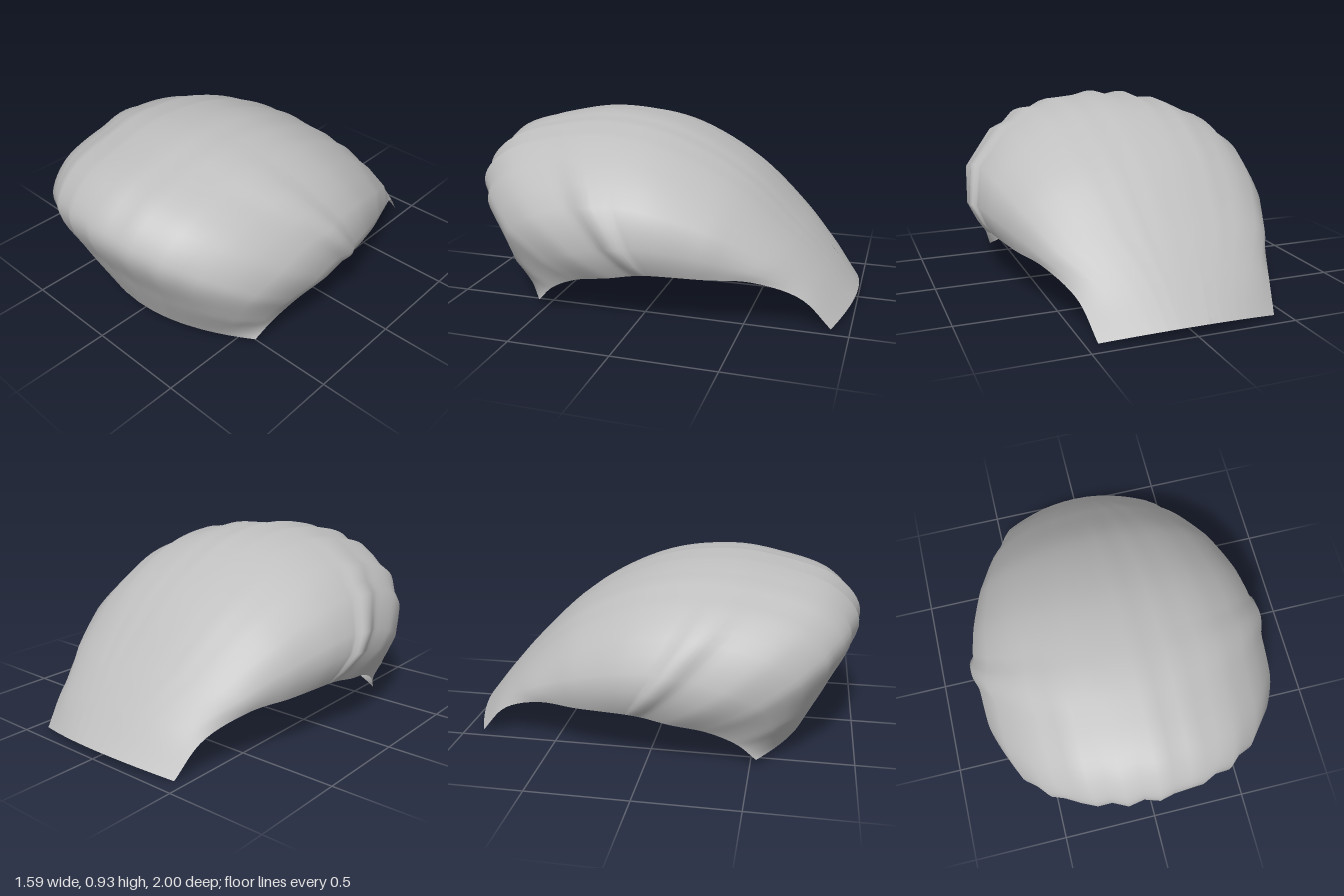
import * as THREE from 'three';

// Stations from the front lip, over the crown, to the rear lip
// spine: [y, z] on the centre line; rim: [x, y, z] of the side edge;
// form: [half width, roundness of the section]
const stations = [
  { spine: [0.06, 0.755], rim: [0.60, 0.04, 0.53], form: [0.60, 0] },
  { spine: [0.33, 0.88], rim: [0.635, 0.13, 0.44], form: [0.65, 0.8] },
  { spine: [0.63, 1.00], rim: [0.67, 0.20, 0.30], form: [0.715, 1] },
  { spine: [0.795, 0.88], rim: [0.70, 0.24, 0.12], form: [0.765, 1] },
  { spine: [0.895, 0.58], rim: [0.70, 0.265, 0.0], form: [0.77, 1] },
  { spine: [0.925, 0.30], rim: [0.70, 0.275, -0.08], form: [0.77, 1] },
  { spine: [0.875, -0.03], rim: [0.69, 0.275, -0.16], form: [0.745, 1] },
  { spine: [0.69, -0.40], rim: [0.65, 0.265, -0.34], form: [0.68, 0.95] },
  { spine: [0.41, -0.70], rim: [0.58, 0.25, -0.55], form: [0.60, 0.7] },
  { spine: [0.24, -0.85], rim: [0.485, 0.155, -0.77], form: [0.49, 0.35] },
  { spine: [0.05, -1.00], rim: [0.44, 0.0, -0.91], form: [0.44, 0] },
];

// Scalloped crown section [x, y], rim to rim
const section = [
  [-0.70, 0.275], [-0.735, 0.33], [-0.77, 0.42], [-0.76, 0.51], [-0.72, 0.59],
  [-0.68, 0.665], [-0.62, 0.71], [-0.56, 0.775], [-0.49, 0.80], [-0.41, 0.843],
  [-0.33, 0.878], [-0.25, 0.878], [-0.17, 0.915], [-0.08, 0.90], [0, 0.925],
  [0.08, 0.907], [0.17, 0.90], [0.25, 0.895], [0.33, 0.86], [0.41, 0.855],
  [0.48, 0.80], [0.56, 0.77], [0.645, 0.685], [0.73, 0.60], [0.75, 0.51],
  [0.77, 0.42], [0.735, 0.33], [0.70, 0.275],
];
const ROWS = 64;

const track = (pick) => new THREE.CatmullRomCurve3(
  stations.map((s) => new THREE.Vector3(...pick(s))));

function shellGeometry() {
  const spine = track((s) => [0, ...s.spine]);
  const rim = track((s) => s.rim);
  const form = track((s) => [...s.form, 0]);
  const cols = section.length;
  const pos = [], index = [];
  for (let i = 0; i <= ROWS; i++) {
    const t = i / ROWS;
    const c = spine.getPoint(t), e = rim.getPoint(t), f = form.getPoint(t);
    section.forEach(([sx, sy], j) => {
      const h = (sy - 0.275) / 0.65; // 0 at the rim, 1 on the spine
      const side = Math.sign(sx);
      // full section tucks in below its widest line
      const full = sy < 0.42
        ? THREE.MathUtils.lerp(e.x, f.x, (Math.abs(sx) - 0.70) / 0.07)
        : f.x * Math.abs(sx) / 0.77;
      // lips flatten to a plain shallow arc
      const arc = e.x * Math.sqrt(Math.max(0, 1 - h));
      const x = side * THREE.MathUtils.lerp(arc, full, THREE.MathUtils.clamp(f.y, 0, 1));
      pos.push(x, THREE.MathUtils.lerp(e.y, c.y, h), THREE.MathUtils.lerp(e.z, c.z, h));
      if (i < ROWS && j < cols - 1) {
        const a = i * cols + j, b = a + cols;
        index.push(a, a + 1, b, a + 1, b + 1, b);
      }
    });
  }
  const g = new THREE.BufferGeometry();
  g.setAttribute('position', new THREE.Float32BufferAttribute(pos, 3));
  g.setIndex(index);
  g.computeVertexNormals();
  return g;
}

export function createModel() {
  const grey = new THREE.MeshStandardMaterial({ color: 0xbfbfbf, side: THREE.DoubleSide });
  grey.name = 'shell grey';
  const shell = new THREE.Mesh(shellGeometry(), grey);
  shell.name = 'ribbedShell';
  const model = new THREE.Group();
  model.name = 'curvedShell';
  model.add(shell);
  return model;
}
